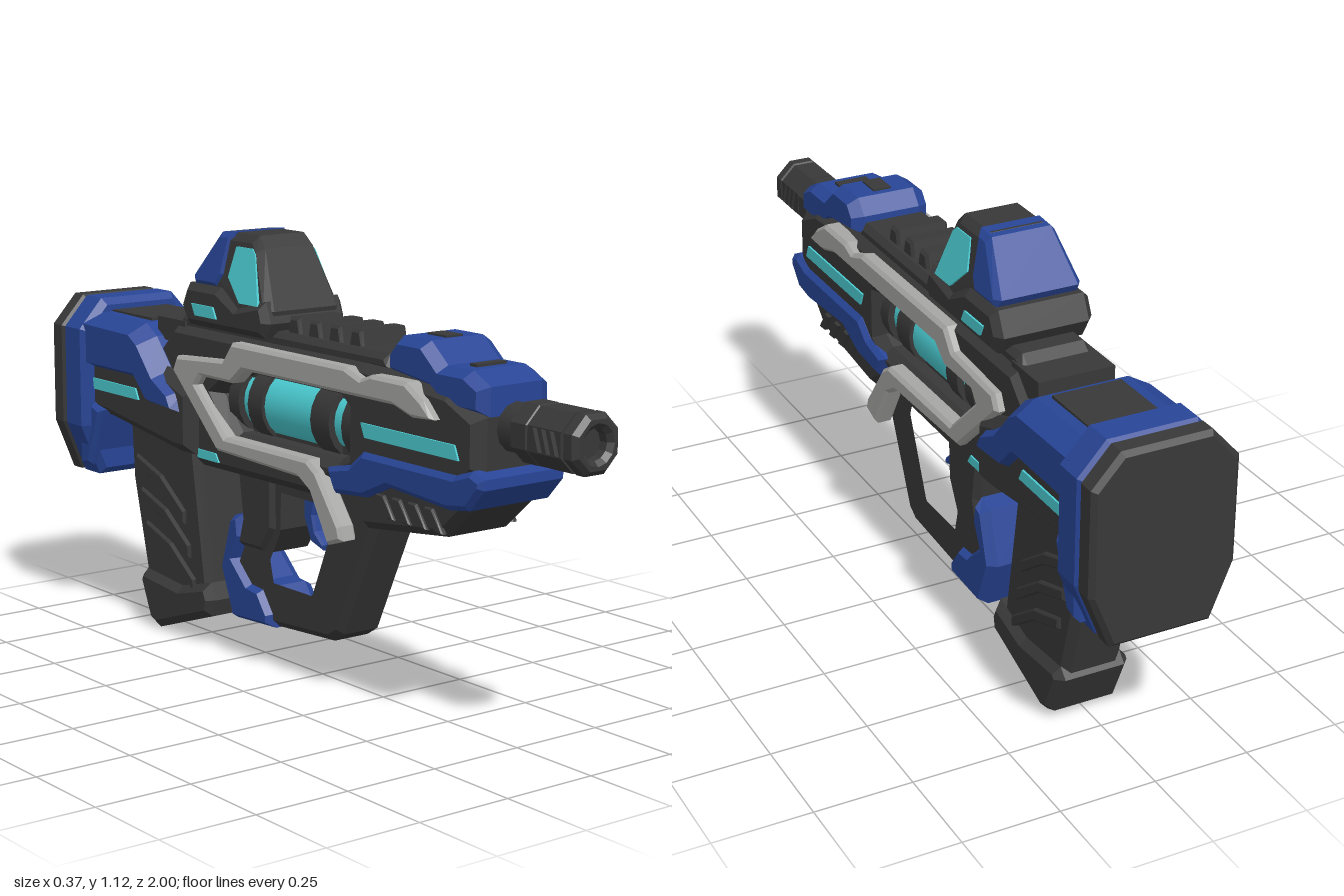
import * as THREE from 'three';

const mat = (name, color) => {
  const m = new THREE.MeshStandardMaterial({ color });
  m.name = name;
  return m;
};

export function createModel() {
  const root = new THREE.Group();
  root.name = 'toyBlaster';
  const dark = mat('charcoal', 0x383838);
  const blue = mat('blue', 0x284596);
  const grey = mat('lightGrey', 0xa6a6a4);
  const cyan = mat('cyan', 0x4bcdd3);

  const toShape = (pts, holes = []) => {
    const s = new THREE.Shape(pts.map(([a, b]) => new THREE.Vector2(a, b)));
    holes.forEach(h => s.holes.push(new THREE.Path(h.map(([a, b]) => new THREE.Vector2(a, b)))));
    return s;
  };
  const add = (name, material, geo) => {
    const m = new THREE.Mesh(geo, material);
    m.name = name;
    root.add(m);
    return m;
  };
  // Chamfered extrusion centred on its depth; the outline keeps its size
  const extrude = (pts, width, b, t, holes) => {
    const depth = width - 2 * t;
    const g = new THREE.ExtrudeGeometry(toShape(pts, holes), {
      depth, bevelEnabled: b > 0, bevelSize: b, bevelThickness: t, bevelOffset: -b, bevelSegments: 1,
    });
    return g.translate(0, 0, -depth / 2);
  };
  // Side profile in (z, y), spread across x
  const slab = (name, material, pts, half, { b = 0.02, t = b, x = 0, holes, bend } = {}) => {
    const g = extrude(pts, half * 2, b, t, holes).rotateY(-Math.PI / 2).translate(x, 0, 0);
    if (bend) {
      const p = g.attributes.position;
      for (let i = 0; i < p.count; i++) p.setX(i, p.getX(i) * bend(p.getY(i)));
      g.computeVertexNormals();
    }
    return add(name, material, g);
  };
  // The same profile on both flanks, from x0 to x1
  const flanks = (name, material, pts, x0, x1, opts = {}) => {
    for (const s of [1, -1])
      slab(name + (s > 0 ? 'Left' : 'Right'), material, pts, (x1 - x0) / 2, { b: 0, ...opts, x: s * (x0 + x1) / 2 });
  };
  // Front profile in (x, y), running from z0 to z1
  const cross = (name, material, pts, z0, z1, b = 0, holes) =>
    add(name, material, extrude(pts, z1 - z0, b, b, holes).translate(0, 0, (z0 + z1) / 2));
  const box = (name, material, w, h, d, x, y, z) =>
    add(name, material, new THREE.BoxGeometry(w, h, d).translate(x, y, z));
  const rod = (name, material, r, z0, z1, y, sides = 20) =>
    add(name, material, new THREE.CylinderGeometry(r, r, z1 - z0, sides).rotateX(Math.PI / 2).translate(0, y, (z0 + z1) / 2));
  const ring = (r, n, cy, turn = 0) => Array.from({ length: n }, (_, i) => {
    const a = (i + turn) / n * Math.PI * 2;
    return [Math.cos(a) * r, cy + Math.sin(a) * r];
  });

  // Muzzle: octagonal ends, slotted middle
  const oct = ring(0.0755, 8, 0.76, 0.5);
  cross('muzzleTip', dark, oct, 0.95, 1, 0.012, [ring(0.037, 12, 0.76)]);
  rod('muzzleBore', dark, 0.05, 0.945, 0.965, 0.76, 12);
  cross('muzzleCollar', dark, oct, 0.78, 0.845, 0.008);
  rod('barrel', dark, 0.06, 0.6, 0.79, 0.76, 12);
  const slots = [0, 1, 2, 3].map(i => {
    const z = 0.93 - i * 0.028;
    return [[z, 0.787], [z - 0.014, 0.787], [z + 0.004, 0.733], [z + 0.018, 0.733]];
  });
  slab('muzzleSlots', dark, [[0.952, 0.73], [0.952, 0.79], [0.843, 0.79], [0.843, 0.73]], 0.069, { b: 0, holes: slots });
  for (const s of [1, -1])
    cross('muzzleBar', dark, [[-0.069, 0.76 + s * 0.029], [0.069, 0.76 + s * 0.029], [0.029, 0.76 + s * 0.069], [-0.029, 0.76 + s * 0.069]], 0.843, 0.952);

  // Receiver with a window on each flank
  slab('receiver', dark, [[0.73, 0.66], [0.73, 0.79], [0.62, 0.84], [0.3, 0.865], [-0.5, 0.865], [-0.57, 0.8], [-0.57, 0.56],
    [-0.43, 0.53], [-0.4, 0.495], [0.1, 0.5], [0.2, 0.56], [0.66, 0.6]], 0.118, {
    b: 0.025, t: 0.03,
    holes: [[[0.24, 0.63], [0.24, 0.74], [0.2, 0.77], [-0.2, 0.77], [-0.3, 0.7], [-0.22, 0.61], [0.2, 0.61]]],
  });
  slab('windowCore', dark, [[0.3, 0.58], [0.3, 0.8], [-0.35, 0.8], [-0.35, 0.58]], 0.055, { b: 0 });
  for (const [z0, z1] of [[0.205, 0.25], [0.08, 0.155], [-0.185, -0.125], [-0.27, -0.225]])
    rod('cellCollar', dark, 0.1, z0, z1, 0.69);
  for (const [z0, z1, r] of [[0.15, 0.21, 0.082], [-0.13, 0.085, 0.09], [-0.23, -0.18, 0.082]])
    rod('energyCell', cyan, r, z0, z1, 0.69);

  // Grey frames
  flanks('frame', grey, [[0.6, 0.77], [0.56, 0.81], [0.5, 0.845], [0.37, 0.845], [0.33, 0.83], [0.27, 0.85], [-0.2, 0.85], [-0.24, 0.8],
    [-0.45, 0.785], [-0.47, 0.745], [-0.27, 0.56], [0.08, 0.55], [0.13, 0.52], [0.2, 0.4], [0.26, 0.42], [0.25, 0.455], [0.16, 0.575],
    [0.12, 0.6], [-0.23, 0.6], [-0.36, 0.72], [-0.34, 0.745], [-0.2, 0.745], [-0.15, 0.785], [0.45, 0.785], [0.52, 0.765]],
    0.09, 0.143, { b: 0.009 });

  // Front blue cap, nose band and handguard
  slab('frontCap', blue, [[0.73, 0.79], [0.73, 0.86], [0.67, 0.89], [0.58, 0.89], [0.52, 0.94], [0.42, 0.94], [0.385, 0.9], [0.385, 0.85],
    [0.54, 0.83], [0.6, 0.79]], 0.108, { b: 0.018, t: 0.03 });
  box('capSlot', dark, 0.05, 0.009, 0.07, 0, 0.94, 0.475);
  box('capNotch', dark, 0.09, 0.009, 0.025, 0, 0.892, 0.63);
  slab('noseBand', blue, [[0.76, 0.655], [0.72, 0.67], [0.66, 0.65], [0.32, 0.65], [0.27, 0.61], [0.18, 0.59], [0.21, 0.53], [0.33, 0.54],
    [0.42, 0.58], [0.64, 0.565], [0.71, 0.575], [0.76, 0.63]], 0.132, { b: 0.013 });
  slab('handguard', dark, [[0.69, 0.6], [0.69, 0.57], [0.6, 0.49], [0.3, 0.455], [0.2, 0.52], [0.24, 0.6]], 0.108, { b: 0.02 });
  for (let i = 0; i < 4; i++) {
    const z = 0.57 - i * 0.06;
    flanks('handguardRib', dark, [[z, 0.555], [z - 0.03, 0.555], [z + 0.01, 0.5], [z + 0.04, 0.5]], 0.1, 0.117, { b: 0.004 });
  }

  // Guard loop, grip and trigger
  slab('gripLoop', dark, [[0.31, 0.47], [0.16, 0.15], [0.12, 0.125], [-0.13, 0.11], [-0.25, 0.12], [-0.3, 0.23], [-0.24, 0.35],
    [-0.26, 0.46], [-0.28, 0.55], [0.25, 0.55]], 0.07, {
    b: 0.018, holes: [[[0.16, 0.44], [0.065, 0.22], [0.05, 0.21], [-0.13, 0.21], [-0.15, 0.29], [-0.105, 0.37], [-0.1, 0.49], [0.14, 0.49]]],
  });
  slab('gripNeck', dark, [[-0.1, 0.53], [-0.1, 0.37], [-0.15, 0.3], [-0.27, 0.3], [-0.25, 0.38], [-0.27, 0.53]], 0.082, { b: 0.018 });
  slab('gripBack', blue, [[-0.25, 0.39], [-0.295, 0.375], [-0.338, 0.235], [-0.285, 0.1], [-0.115, 0.108], [-0.115, 0.145], [-0.16, 0.205],
    [-0.21, 0.21], [-0.27, 0.265], [-0.24, 0.325]], 0.088, { b: 0.015, t: 0.025 });
  slab('trigger', blue, [[0.01, 0.5], [-0.05, 0.5], [-0.05, 0.41], [-0.02, 0.35], [0.03, 0.335], [0.035, 0.35], [0, 0.38], [-0.01, 0.42]], 0.025, { b: 0.006 });

  // Magazine
  slab('magazine', dark, [[-0.46, 0.57], [-0.78, 0.57], [-0.77, 0.4], [-0.69, 0.08], [-0.39, 0.12]], 0.08, { b: 0.02 });
  slab('magazineBase', dark, [[-0.385, 0.175], [-0.365, 0.13], [-0.375, 0.085], [-0.63, 0], [-0.665, 0.015], [-0.715, 0.13], [-0.69, 0.155],
    [-0.52, 0.14]], 0.1, { b: 0.02 });
  for (let i = 0; i < 3; i++) {
    const y = 0.43 - i * 0.09, z = -0.03 + i * 0.022;
    flanks('magazineRib', dark, [[z - 0.47, y - 0.08], [z - 0.58, y], [z - 0.7, y + 0.04], [z - 0.7, y + 0.01], [z - 0.58, y - 0.035], [z - 0.47, y - 0.115]],
      0.07, 0.09, { b: 0.005 });
  }

  // Stock
  slab('stockCore', dark, [[-0.38, 0.53], [-0.38, 0.7], [-0.6, 0.78], [-0.88, 0.78], [-0.88, 0.58], [-0.78, 0.575], [-0.45, 0.53]], 0.152, { b: 0.025 });
  slab('stockShell', blue, [[-0.4, 0.625], [-0.425, 0.7], [-0.5, 0.74], [-0.57, 0.82], [-0.62, 0.85], [-0.9, 0.855], [-0.9, 0.69], [-0.62, 0.69],
    [-0.56, 0.63]], 0.175, { b: 0.03, t: 0.055 });
  const butt = [[0.115, 0.89], [0.187, 0.81], [0.187, 0.54], [0.13, 0.4], [-0.13, 0.4], [-0.187, 0.54], [-0.187, 0.81], [-0.115, 0.89]];
  cross('stockRear', blue, butt, -0.945, -0.835, 0.018);
  slab('stockRearFlare', blue, [[-0.79, 0.59], [-0.85, 0.43], [-0.9, 0.42], [-0.9, 0.68], [-0.85, 0.68], [-0.84, 0.61]], 0.165, { b: 0.012 });
  cross('buttPad', dark, butt, -1, -0.935, 0.012);
  for (let i = 0; i < 4; i++) box('buttRib', dark, 0.22, 0.03, 0.008, 0, 0.52 + i * 0.08, -0.996);
  box('stockTopPanel', dark, 0.18, 0.01, 0.21, 0, 0.853, -0.745);
  box('stockBridge', dark, 0.2, 0.06, 0.13, 0, 0.84, -0.53);

  // Top rail
  slab('topRail', dark, [[0.39, 0.85], [0.37, 0.89], [-0.48, 0.89], [-0.53, 0.85]], 0.095, { b: 0.015 });
  for (let i = 0; i < 4; i++) {
    const z = 0.225 - i * 0.083;
    slab('railTooth', dark, [[z + 0.03, 0.88], [z + 0.02, 0.93], [z - 0.02, 0.93], [z - 0.03, 0.88]], 0.072, { b: 0.008 });
  }

  // Sight: wide base, housing narrowing upward
  const narrow = y => 1 - Math.max(0, y - 0.95) * 1.75;
  slab('sightBase', dark, [[-0.085, 0.87], [-0.065, 0.91], [-0.085, 0.965], [-0.2, 0.94], [-0.28, 0.98], [-0.42, 0.98], [-0.45, 0.92], [-0.42, 0.87]],
    0.13, { b: 0.018 });
  slab('sightHousing', dark, [[-0.075, 0.91], [-0.07, 0.94], [-0.14, 1.09], [-0.17, 1.12], [-0.3, 1.12], [-0.38, 1.02], [-0.4, 0.91]],
    0.118, { b: 0.02, bend: narrow });
  slab('sightHood', blue, [[-0.265, 1.122], [-0.32, 1.118], [-0.415, 1], [-0.4, 0.975], [-0.3, 0.975], [-0.275, 1.01]],
    0.125, { b: 0.015, bend: narrow });
  flanks('sightLens', cyan, [[-0.11, 0.95], [-0.155, 1.075], [-0.17, 1.088], [-0.24, 1.088], [-0.255, 1.01], [-0.19, 0.95]], 0.114, 0.122, { bend: narrow });

  // Glowing strips
  const strip = (name, z0, z1, y0, y1, x) =>
    flanks(name, cyan, [[z0, y0], [z0 - 0.015, y1], [z1, y1], [z1 + 0.015, y0]], x - 0.004, x + 0.005);
  strip('sightGlow', -0.275, -0.385, 0.9, 0.93, 0.13);
  strip('frontGlow', 0.67, 0.31, 0.685, 0.72, 0.118);
  strip('lowerGlow', -0.285, -0.395, 0.522, 0.545, 0.117);
  strip('stockGlow', -0.61, -0.845, 0.645, 0.675, 0.152);
  return root;
}
